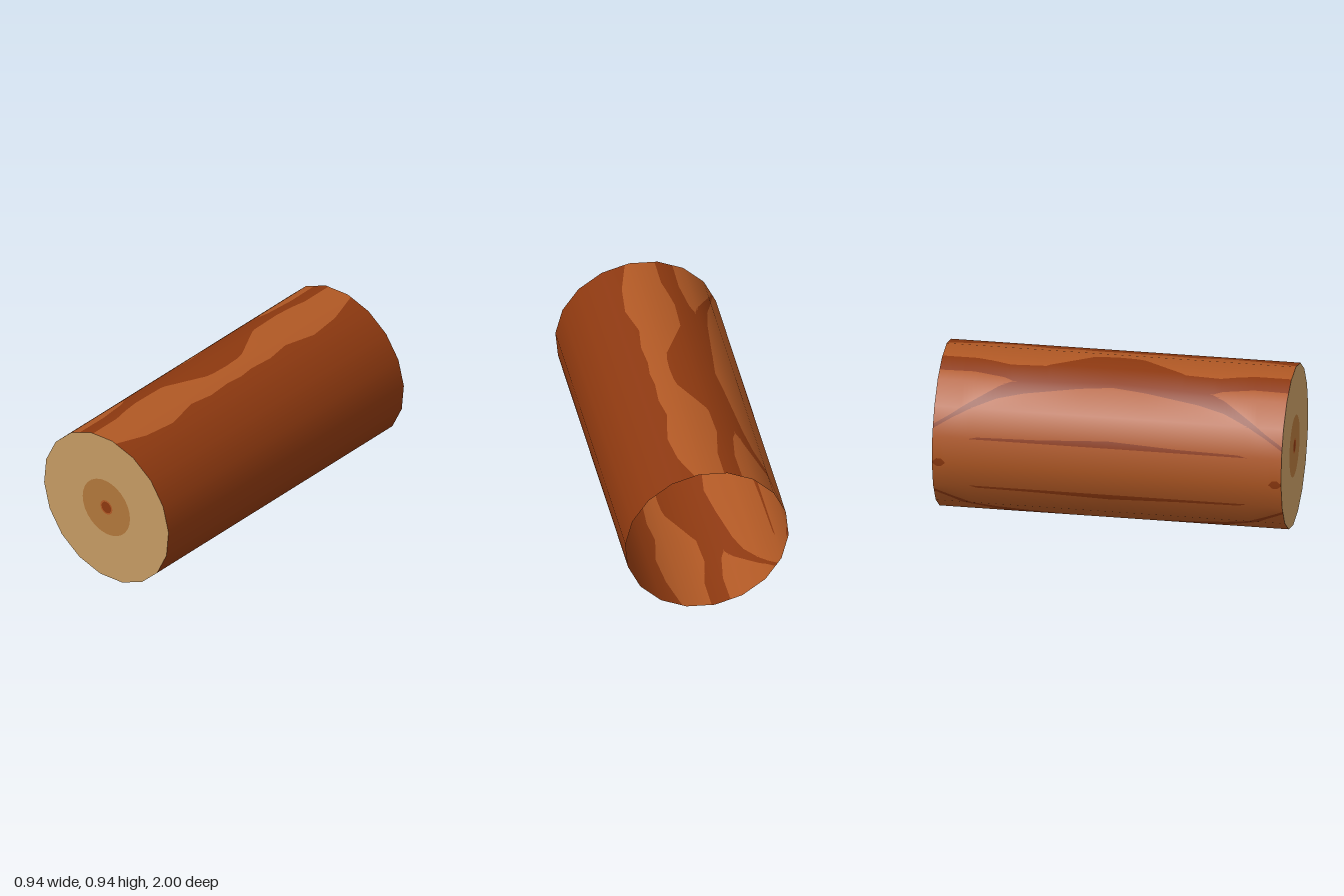
import * as THREE from 'three';

const RADIUS = 0.472, SIDES = 18, STEP = 360 / SIDES, START = 4.5, HALF = 1, CENTRE = 0.471;
const SLICES = 80;
const rad = THREE.MathUtils.degToRad;

const mat = (name, color) => {
  const m = new THREE.MeshStandardMaterial({ color, side: THREE.DoubleSide });
  m.name = name;
  return m;
};

// Bark edges as [distance from middle, angle in degrees]; tones alternate dark, light, dark...
const EDGES = [
  [[0, START]],
  [[0, 74], [0.1, 75.2], [0.25, 74], [0.4, 76.5], [0.6, 71.4], [0.8, 74], [1, 81.4]], // top streak
  [[0, 88.2], [0.1, 88.8], [0.15, 90], [0.3, 99.8], [0.4, 106], [0.6, 107], [0.8, 102.3], [1, 102.3]],
  [[0, 118], [0.57, 122], [0.62, 119], [0.8, 115.5], [1, 116]], // patch inside the fork
  [[0, 118], [0.57, 122], [0.65, 127], [0.8, 140], [0.9, 149], [1, 157]],
  [[0, 122], [0.2, 125], [0.35, 128], [0.5, 131], [0.65, 136], [0.8, 145], [0.9, 152], [1, 160]],
  [[0, 161], [0.4, 163.5], [0.77, 164.5], [0.78, 166], [1, 166]], // thin crack
  [[0, 166]],
  [[0, 184.5], [0.94, 184.5], [0.95, 181.5], [0.985, 181.5], [1, 184]], // knots at the ends
  [[0, 184.5]],
];

// Linear interpolation along an edge
function edgeAt(edge, z) {
  const d = Math.abs(z);
  for (let i = 1; i < edge.length; i++) {
    const [d0, a0] = edge[i - 1], [d1, a1] = edge[i];
    if (d <= d1) return a0 + (a1 - a0) * (d - d0) / (d1 - d0);
  }
  return edge[edge.length - 1][1];
}

// Point on the flat side of the prism at a given angle
function sidePoint(angle, z) {
  const mid = START + STEP * (Math.floor((angle - START) / STEP) + 0.5);
  const r = RADIUS * Math.cos(rad(STEP / 2)) / Math.cos(rad(angle - mid));
  return [r * Math.cos(rad(angle)), r * Math.sin(rad(angle)), z];
}

// All bark of one tone, cut exactly at facet corners and pattern edges
function barkGeometry(tone) {
  const positions = [], normals = [];
  const add = (angle, z) => {
    positions.push(...sidePoint(angle, z));
    normals.push(Math.cos(rad(angle)), Math.sin(rad(angle)), 0);
  };
  for (let b = tone; b < EDGES.length - 1; b += 2) {
    for (let s = 0; s < SLICES; s++) {
      const z0 = -HALF + 2 * HALF * s / SLICES, z1 = -HALF + 2 * HALF * (s + 1) / SLICES;
      for (let f = 0; f < SIDES / 2; f++) {
        const lo = START + STEP * f, hi = lo + STEP;
        const cut = (edge, z) => THREE.MathUtils.clamp(edgeAt(edge, z), lo, hi);
        const a0 = cut(EDGES[b], z0), b0 = cut(EDGES[b + 1], z0);
        const a1 = cut(EDGES[b], z1), b1 = cut(EDGES[b + 1], z1);
        if (b0 - a0 < 1e-4 && b1 - a1 < 1e-4) continue;
        // upper half, then its mirror image on the lower half
        const m = 2 * START;
        for (const [p0, q0, p1, q1] of [[a0, b0, a1, b1], [m - b0, m - a0, m - b1, m - a1]]) {
          add(p0, z0); add(q0, z0); add(q1, z1);
          add(p0, z0); add(q1, z1); add(p1, z1);
        }
      }
    }
  }
  const g = new THREE.BufferGeometry();
  g.setAttribute('position', new THREE.Float32BufferAttribute(positions, 3));
  g.setAttribute('normal', new THREE.Float32BufferAttribute(normals, 3));
  return g;
}

function polygon(r, n, start = 0) {
  return Array.from({ length: n }, (_, i) => {
    const a = rad(start + i * 360 / n);
    return new THREE.Vector2(r * Math.cos(a), r * Math.sin(a));
  });
}

export function createModel() {
  const log = new THREE.Group();
  log.name = 'log';
  const darkBark = mat('darkBark', 0x8c380f);
  const lightBark = mat('lightBark', 0xb05824);
  const paleWood = mat('paleWood', 0xc49a62);
  const heartwood = mat('heartwood', 0xb0763b);

  const part = (name, geometry, material) => {
    const mesh = new THREE.Mesh(geometry, material);
    mesh.name = name;
    mesh.position.y = CENTRE;
    log.add(mesh);
  };

  // Hollow trunk, open at the back
  part('barkBase', barkGeometry(0), darkBark);
  part('barkStreaks', barkGeometry(1), lightBark);

  // Cut face at the front, made of nested rings
  const rings = [
    ['sapwood', polygon(RADIUS, SIDES, START), paleWood],
    ['heartwoodRing', polygon(0.179, 28), heartwood],
    ['pithRim', polygon(0.046, 12), lightBark],
    ['pith', polygon(0.036, 16), darkBark],
  ];
  rings.forEach(([name, outline, material], i) => {
    const shape = new THREE.Shape(outline);
    if (rings[i + 1]) shape.holes.push(new THREE.Path(rings[i + 1][1]));
    part(name, new THREE.ShapeGeometry(shape).translate(0, 0, HALF), material);
  });
  return log;
}
